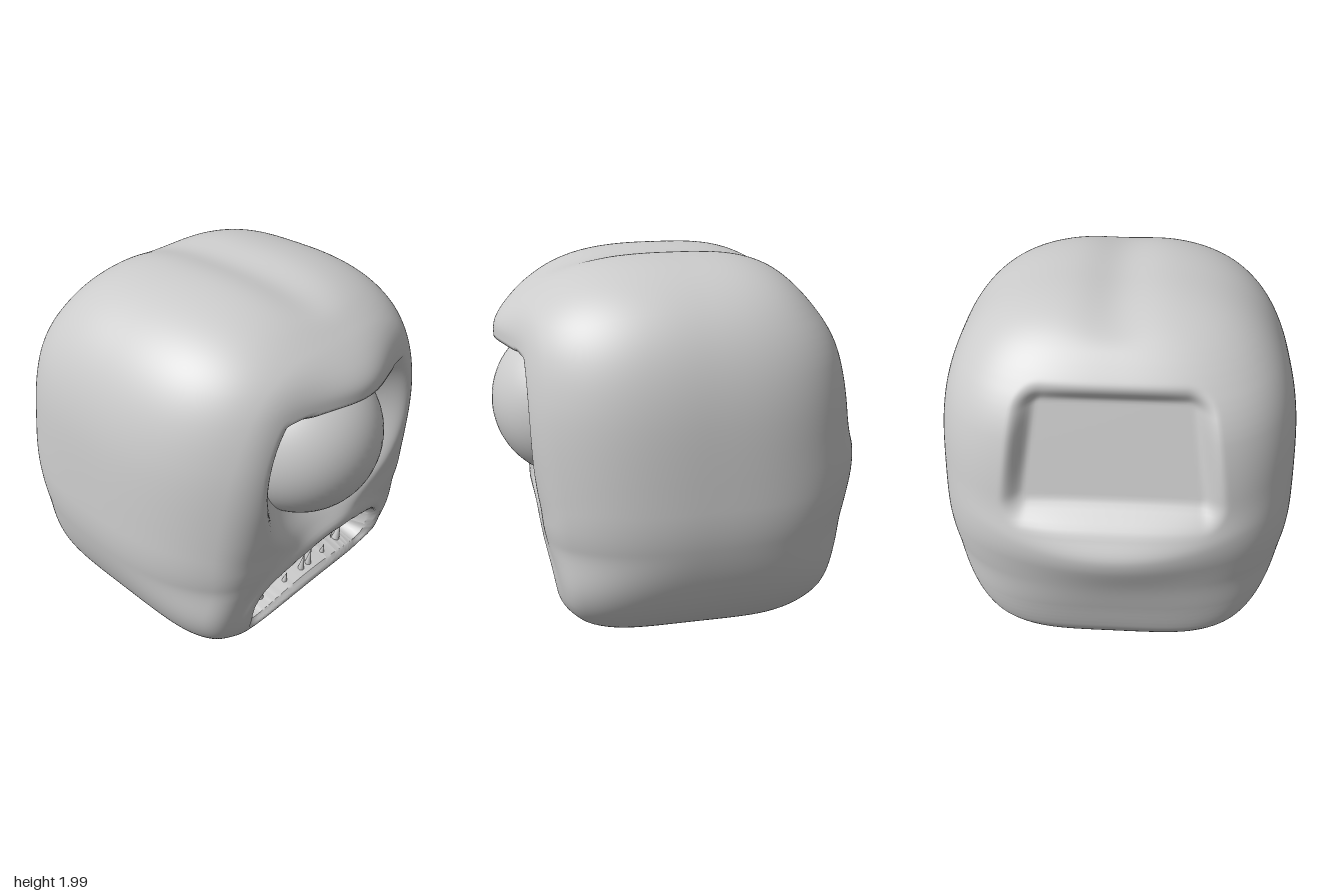
import * as THREE from 'three';
import { mergeVertices } from 'three/addons/utils/BufferGeometryUtils.js';

const { smoothstep, lerp, clamp } = THREE.MathUtils;
const bump = (t, c, w) => Math.exp(-(((t - c) / w) ** 2));
const norm = (n, ...c) => c.reduce((s, t) => s + Math.abs(t) ** n, 0) ** (1 / n);

// lookup in a [height, value] profile, averaged over a short span to round its kinks
function linear(points, y) {
  if (y <= points[0][0]) return points[0][1];
  for (let i = 1; i < points.length; i++) {
    const [y0, a] = points[i - 1], [y1, b] = points[i];
    if (y <= y1) return lerp(a, b, (y - y0) / (y1 - y0));
  }
  return points[points.length - 1][1];
}
const profile = (points, y) =>
  [-0.08, -0.04, 0, 0.04, 0.08].reduce((s, d) => s + linear(points, y + d) / 5, 0);

// smooth minimum
function softMin(a, b, k) {
  const h = clamp(0.5 + (b - a) / (2 * k), 0, 1);
  return lerp(b, a, h) - k * h * (1 - h);
}

// signed distance to a rounded rectangle
function roundRect(x, y, hw, hh, r) {
  const qx = Math.abs(x) - hw + r, qy = Math.abs(y) - hh + r;
  return Math.hypot(Math.max(qx, 0), Math.max(qy, 0)) + Math.min(Math.max(qx, qy), 0) - r;
}

// head by height: half width, front depth, flat face, back depth
const WIDTH = [[0, 0.86], [0.3, 0.89], [0.8, 0.93], [1.2, 0.915], [2, 0.905]];
const FRONT = [[0, 0.82], [0.2, 0.83], [0.4, 0.88], [0.7, 0.93], [1.5, 0.93], [1.8, 0.97], [2, 0.96]];
const FACE = [[0, 0.58], [0.15, 0.62], [0.28, 0.7], [0.5, 0.72], [0.7, 0.765], [1, 0.78], [1.5, 0.82], [2, 0.84]];
const BACK = [[0, 0.92], [0.2, 0.92], [0.4, 0.86], [0.6, 0.865], [0.8, 0.88], [0.95, 0.9], [1.12, 0.87], [1.4, 0.845], [1.6, 0.83], [1.8, 0.77], [2, 0.76]];

// openings in the face and back
const mouth = (x, y) => roundRect(x, y - 0.475 + 0.3 * x * x, 0.49, 0.125, 0.08);
const socket = (x, y) => -softMin(0.405 - Math.hypot(x, y - 1.235), 7 * (1.548 - y), 0.05);
const recess = (x, y) => roundRect(x, y - 1.41, 0.5 + 0.15 * (1.41 - y), 0.34, 0.13);

// slide a point lying near the mouth outline onto it, for a clean lip edge
function snapToMouth(x, y) {
  const d = mouth(x, y), e = 0.002;
  if (Math.abs(d) > 0.011) return [x, y];
  const gx = (mouth(x + e, y) - mouth(x - e, y)) / (2 * e);
  const gy = (mouth(x, y + e) - mouth(x, y - e)) / (2 * e);
  const s = d / (gx * gx + gy * gy);
  return [x - gx * s, y - gy * s];
}

function shapeFront(x, y, z) {
  z = softMin(z * profile(FRONT, y), profile(FACE, y), 0.1);
  const w = smoothstep(z, 0.35, 0.65);
  // brow, cheeks and lips
  const ax = Math.abs(x);
  const under = 1.49 - 0.3 * smoothstep(ax, 0.25, 0.5);
  const brow = smoothstep(y, under, 1.56) * (1 - smoothstep(y, 1.62, 1.88));
  z += w * 0.11 * bump(x, 0, 0.3) * brow;
  z += w * 0.025 * bump(ax, 0.55, 0.16) * bump(y, 1.2, 0.4);
  z -= w * 0.012 * bump(y, 0.73 + 0.3 * x * x, 0.07) * bump(x, 0, 0.5);
  const m = mouth(x, y);
  z += w * 0.015 * bump(m, 0.06, 0.05);
  z -= w * 0.03 * (1 - smoothstep(m, 0, 0.035));
  // dished eye socket and mouth cavity
  if (w > 0.3) {
    z = lerp(z, Math.min(z, 0.63), 1 - smoothstep(socket(x, y), -0.06, 0.17));
    z = lerp(z, Math.min(z, 0.47), 1 - smoothstep(m, -0.025, -0.003));
  }
  return z;
}

function shapeBack(x, y, z) {
  z *= profile(BACK, y);
  // ledge below the recess, falling away more gently downwards
  const ledge = 0.94 + 0.2 * x * x;
  z -= smoothstep(-z, 0.4, 0.7) * 0.065 * bump(x, 0, 0.45) * bump(y, ledge, y > ledge ? 0.1 : 0.22);
  const floor = -(0.61 + 0.28 * clamp(1.72 - y, 0, 0.6));
  const cut = 1 - smoothstep(recess(x, y), -0.11, 0.01);
  return z < -0.3 ? lerp(z, Math.max(z, floor), cut) : z;
}

function headGeometry() {
  const geo = new THREE.BoxGeometry(2, 2, 2, 100, 100, 100);
  geo.deleteAttribute('normal');
  geo.deleteAttribute('uv');
  const pos = geo.attributes.position;
  const p = new THREE.Vector3();
  for (let i = 0; i < pos.count; i++) {
    // rounded cube, squarer in plan at the jaw
    p.fromBufferAttribute(pos, i);
    p.divideScalar(norm(3, p.x, p.y, p.z));
    const turn = smoothstep(p.z, -0.3, 0.3);
    const plan = lerp(lerp(4.3, 5, turn), lerp(3.05, 2.7, turn), smoothstep(p.y, -0.8, -0.3));
    const flat = norm(plan, p.x, p.z);
    const k = flat > 1e-6 ? norm(3, p.x, p.z) / flat : 1;
    let y = 1 + p.y;
    let x = p.x * k * profile(WIDTH, y);
    let z = p.z * k;
    if (z > 0.4) [x, y] = snapToMouth(x, y);
    z = z > 0 ? shapeFront(x, y, z) : shapeBack(x, y, z);
    // shallow centre dip on top and underside, jaw tilted up to the front
    const cap = smoothstep(Math.abs(p.y), 0.85, 1);
    y -= Math.sign(p.y) * 0.03 * cap * bump(x, 0, 0.15);
    y += 0.06 * z * (1 - smoothstep(y, 0, 0.25));
    pos.setXYZ(i, x, Math.max(y, 0), z);
  }
  const merged = mergeVertices(geo, 1e-5);
  merged.computeVertexNormals();
  return merged;
}

export function createModel() {
  const group = new THREE.Group();
  const mat = new THREE.MeshStandardMaterial({ color: 0xcccccc });
  const add = (name, geo) => {
    const mesh = new THREE.Mesh(geo, mat);
    mesh.name = name;
    group.add(mesh);
    return mesh;
  };

  add('head', headGeometry());

  // single eye
  add('eye', new THREE.SphereGeometry(0.42, 64, 40)).position.set(0, 1.22, 0.54);

  // teeth: [root x, root y, tip x, tip y, radius, z]
  const teeth = {
    upperTooth: [[0.385, 0.58, 0.37, 0.42, 0.024, 0.62], [0.265, 0.6, 0.215, 0.42, 0.034, 0.64], [0.11, 0.63, 0.1, 0.5, 0.017, 0.65]],
    lowerTooth: [[0.325, 0.28, 0.35, 0.45, 0.032, 0.61], [0.165, 0.31, 0.16, 0.415, 0.022, 0.64], [0.03, 0.33, 0.03, 0.47, 0.022, 0.65]],
  };
  for (const [name, row] of Object.entries(teeth)) {
    for (const [rx, ry, tx, ty, r, z] of row) {
      for (const side of [1, -1]) {
        const root = new THREE.Vector3(side * rx, ry, z - 0.02);
        const tip = new THREE.Vector3(side * tx, ty, z);
        const dir = tip.clone().sub(root);
        const tooth = add(name, new THREE.ConeGeometry(r, dir.length(), 12, 3));
        tooth.position.copy(root).add(tip).multiplyScalar(0.5);
        tooth.quaternion.setFromUnitVectors(new THREE.Vector3(0, 1, 0), dir.normalize());
      }
    }
  }
  return group;
}
